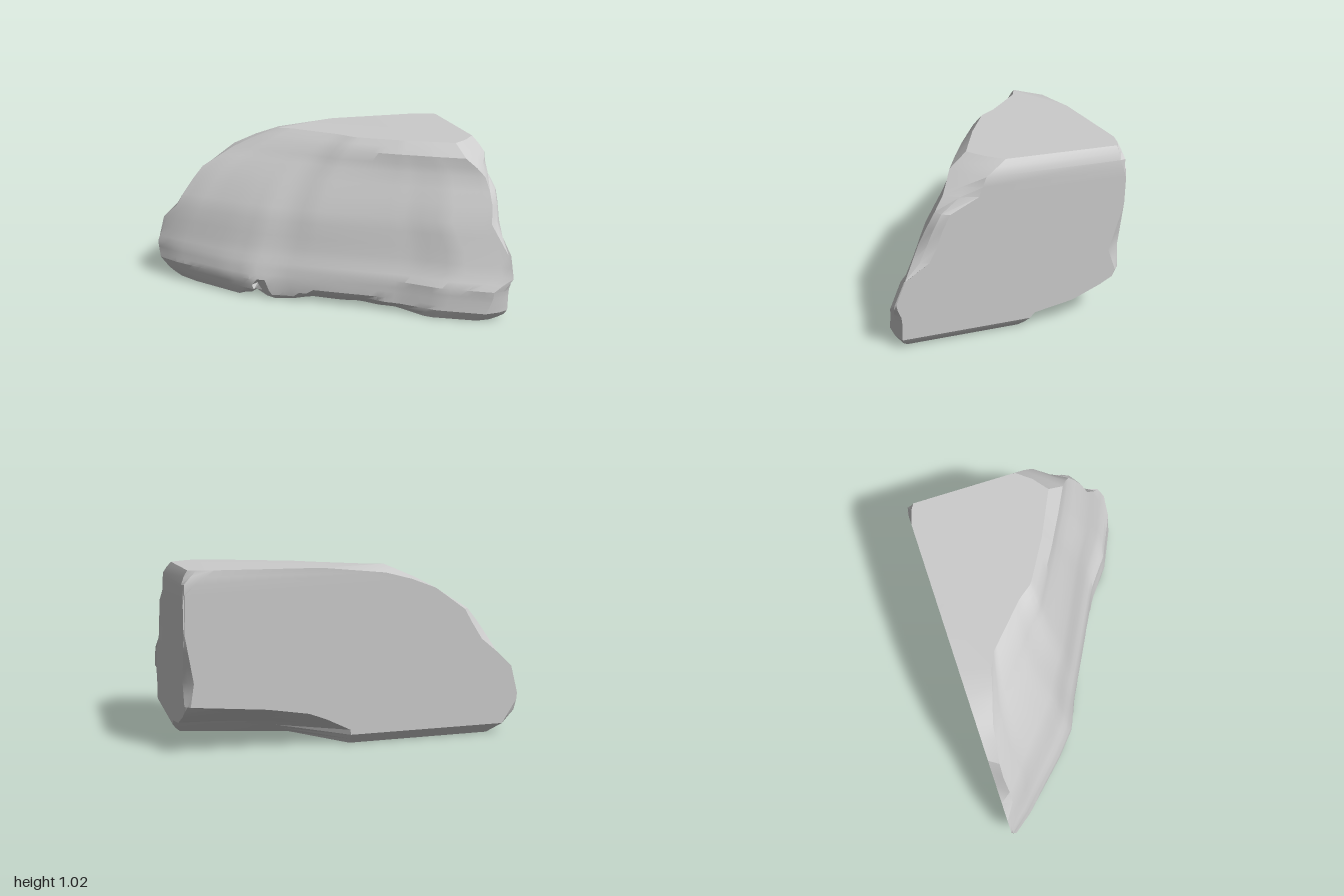
import * as THREE from 'three';
import { toCreasedNormals } from 'three/addons/utils/BufferGeometryUtils.js';

// piecewise-linear lookup: keys are [position, value] pairs
function at(keys, p) {
  if (p <= keys[0][0]) return keys[0][1];
  for (let i = 1; i < keys.length; i++) {
    const [a, u] = keys[i - 1], [b, v] = keys[i];
    if (p <= b) return u + (v - u) * (p - a) / (b - a);
  }
  return keys[keys.length - 1][1];
}

// heights of the horizontal cross-sections
const LEVELS = [0, 0.03, 0.06, 0.09, 0.13, 0.16, 0.2, 0.24, 0.28, 0.34, 0.41, 0.5,
  0.58, 0.68, 0.76, 0.84, 0.89, 0.945, 0.985, 1.02];
const FRONT_STEPS = 40;

// left tip, where the sloping front meets the chipped back edge
const leftX = [[0, -0.86], [0.05, -0.93], [0.13, -0.99], [0.24, -1], [0.32, -0.97], [0.46, -0.9],
  [0.52, -0.85], [0.6, -0.81], [0.76, -0.68], [0.9, -0.46], [0.96, -0.34], [1.02, -0.2]];
const leftZ = [[0, -0.58], [0.06, -0.62], [0.2, -0.66], [0.3, -0.66], [0.4, -0.64], [0.52, -0.6],
  [0.73, -0.62], [0.9, -0.575], [1.02, -0.49]];
// left and right limits of the flat back
const backLeftX = [[0, -0.82], [0.06, -0.9], [0.2, -0.99], [0.24, -0.995], [0.41, -0.95], [0.52, -0.83],
  [0.59, -0.74], [0.76, -0.64], [0.9, -0.44], [0.98, -0.2], [1.02, 0.23]];
const backZ = [[0, -0.62], [0.06, -0.67]];
const backRightX = [[0, 0.05], [0.09, 0.06], [0.16, 0.2], [0.23, 0.38], [0.25, 0.7], [0.28, 0.97],
  [0.41, 0.95], [0.68, 0.995], [0.9, 0.99], [1.02, 0.83]];
// broken corner between back, side and underside
const cornerX = [[0, 0.33], [0.09, 0.45], [0.16, 0.6], [0.23, 0.8], [0.28, 0.985], [0.41, 0.975], [0.68, 0.998], [0.95, 0.99], [1.02, 0.92]];
const cornerZ = [[0, -0.25], [0.09, -0.35], [0.16, -0.48], [0.23, -0.58], [0.28, -0.655], [0.41, -0.63], [0.68, -0.668], [0.95, -0.66], [1.02, -0.645]];
// flat side
const sideX = [[0, 0.95], [0.05, 1], [0.95, 1], [0.985, 0.985], [1.02, 0.965]];
const sideBackZ = [[0, -0.07], [0.09, -0.15], [0.13, -0.38], [0.2, -0.55], [0.23, -0.62], [0.28, -0.64],
  [0.41, -0.59], [0.68, -0.668], [0.85, -0.668], [0.96, -0.62]];
const sideFrontZ = [[0, 0.58], [0.04, 0.62], [0.19, 0.62], [0.27, 0.655], [0.41, 0.6], [0.46, 0.5],
  [0.53, 0.44], [0.66, 0.4], [0.8, 0.33], [0.84, 0.19], [0.95, 0.15], [1.02, 0.03]];
// right end of the sloping front
const frontX = [[0, 0.81], [0.07, 0.85], [0.15, 0.885], [0.21, 0.89], [0.27, 0.995], [0.41, 0.995],
  [0.58, 0.92], [0.7, 0.94], [0.83, 0.93], [0.89, 0.88], [0.945, 0.82], [1.02, 0.79]];
const frontZ = [[0, 0.6], [0.06, 0.65], [0.27, 0.66], [0.4, 0.605], [0.58, 0.5], [0.7, 0.45],
  [0.84, 0.365], [0.94, 0.3], [1.02, 0.19]];
// swelling of the front across its width, low down and at the top
const lowBulge = [[0, 0], [0.05, 0.06], [0.2, 0.16], [0.28, 0.19], [0.38, 0.14], [0.53, 0.1], [0.74, 0.04], [0.85, 0.06], [1, 0]];
const topBulge = [[0, 0], [0.1, -0.02], [0.36, 0.04], [0.43, 0.085], [0.7, 0.06], [1, 0]];
// height of the chips along the lower front edge
const chipHeight = [[-0.52, 0], [-0.5, 0.04], [-0.45, 0.05], [-0.41, 0.15], [-0.34, 0.01], [-0.2, 0.03],
  [-0.08, 0.09], [0.1, 0.08], [0.2, 0.095], [0.3, 0.06], [0.4, 0.06], [0.52, 0]];

// one closed loop of [x, z], running left, front, right, back
function section(y) {
  const xl = at(leftX, y), zl = at(leftZ, y), xr = at(frontX, y), zr = at(frontZ, y);
  const zb = at(backZ, y), xs = at(sideX, y), zs = at(sideFrontZ, y);
  const loop = [[at(backLeftX, y), zb]];
  const w = THREE.MathUtils.clamp((y - 0.15) / 0.87, 0, 1);
  for (let i = 0; i <= FRONT_STEPS; i++) {
    const t = i / FRONT_STEPS;
    const x = xl + (xr - xl) * t;
    const bulge = at(lowBulge, t) * (1 - w) + at(topBulge, t) * w;
    const chip = 1.2 * Math.max(0, at(chipHeight, x) - y);
    loop.push([x, zl + (zr - zl) * t + bulge - chip]);
  }
  loop.push([(xr + xs) / 2 + 0.01, (zr + zs) / 2 + 0.01]);
  loop.push([xs, zs], [xs, at(sideBackZ, y)]);
  loop.push([Math.min(at(cornerX, y), xs), at(cornerZ, y)]);
  loop.push([at(backRightX, y), zb]);
  return loop;
}

export function createModel() {
  const loops = LEVELS.map(section);
  const n = loops[0].length;
  const positions = [], index = [];
  loops.forEach((loop, j) => loop.forEach(([x, z]) => positions.push(x, LEVELS[j], z)));

  // walls
  for (let j = 0; j < loops.length - 1; j++) {
    for (let i = 0; i < n; i++) {
      const a = j * n + i, b = j * n + (i + 1) % n;
      index.push(a, b, b + n, a, b + n, a + n);
    }
  }
  // flat top and underside
  const cap = (j, flip) => {
    const outline = loops[j].map(([x, z]) => new THREE.Vector2(x, -z));
    for (const [a, b, c] of THREE.ShapeUtils.triangulateShape(outline, [])) {
      const o = j * n;
      if (flip) index.push(o + a, o + c, o + b);
      else index.push(o + a, o + b, o + c);
    }
  };
  cap(0, true);
  cap(loops.length - 1, false);

  const geometry = new THREE.BufferGeometry();
  geometry.setAttribute('position', new THREE.Float32BufferAttribute(positions, 3));
  geometry.setIndex(index);

  const rock = new THREE.Mesh(
    toCreasedNormals(geometry, 0.45),
    new THREE.MeshStandardMaterial({ color: 0xcccccc })
  );
  rock.name = 'rockChunk';

  const group = new THREE.Group();
  group.name = 'brokenRock';
  group.add(rock);
  return group;
}
